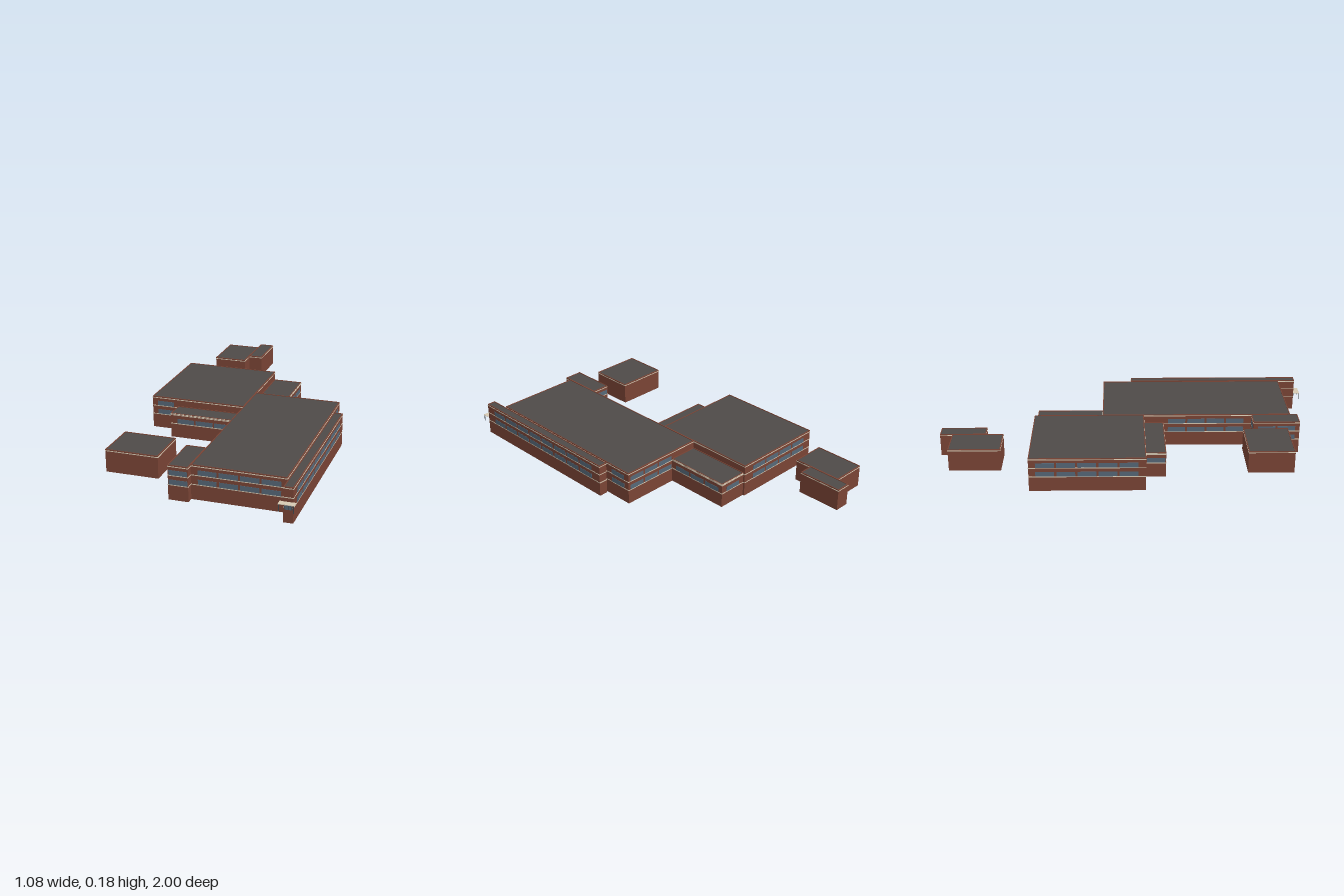
import * as THREE from 'three';

const mat = (name, color, side = THREE.FrontSide) => {
  const m = new THREE.MeshStandardMaterial({ color, side });
  m.name = name;
  return m;
};

export function createModel() {
  const brick = mat('brick', 0x7a4435);
  const roofing = mat('roofing', 0x4e4a48);
  const trim = mat('cream trim', 0xd6cab4);
  const glass = mat('glass', 0x566878);
  const metal = mat('dark metal', 0x40444a);

  const model = new THREE.Group();
  model.name = 'buildingComplex';

  const add = (parent, name, geometry, material) => {
    const mesh = new THREE.Mesh(geometry, material);
    mesh.name = name;
    parent.add(mesh);
    return mesh;
  };

  // Box given by its lower and upper corner
  const box = (parent, name, material, x0, x1, y0, y1, z0, z1) =>
    add(parent, name, new THREE.BoxGeometry(x1 - x0, y1 - y0, z1 - z0), material)
      .position.set((x0 + x1) / 2, (y0 + y1) / 2, (z0 + z1) / 2);

  // Rectangular ring in plan, grown outward by "out", with walls of thickness t
  const ring = (parent, name, material, [x0, x1, z0, z1], y0, y1, out, t) => {
    const rect = (C, d) => new C([
      new THREE.Vector2(x0 - d, -z1 - d), new THREE.Vector2(x1 + d, -z1 - d),
      new THREE.Vector2(x1 + d, -z0 + d), new THREE.Vector2(x0 - d, -z0 + d)
    ]);
    const shape = rect(THREE.Shape, out);
    shape.holes.push(rect(THREE.Path, out - t));
    const geo = new THREE.ExtrudeGeometry(shape, { depth: y1 - y0, bevelEnabled: false });
    geo.rotateX(-Math.PI / 2).translate(0, y0, 0);
    add(parent, name, geo, material);
  };

  // Hollow wing: open below, flat roof sunk behind a low parapet, trim bands
  const wing = (name, plan, y0, y1, bands) => {
    const g = new THREE.Group();
    g.name = name;
    model.add(g);
    const [x0, x1, z0, z1] = plan;
    ring(g, 'walls', brick, plan, y0, y1, 0, 0.004);
    box(g, 'roof', roofing, x0 + 0.003, x1 - 0.003, y1 - 0.008, y1 - 0.003, z0 + 0.003, z1 - 0.003);
    for (const y of bands) ring(g, 'trimBand', trim, plan, y - 0.002, y + 0.002, 0.0012, 0.002);
    return g;
  };

  const TOP = 0.182, LOW = 0.138;
  const tall = [0.079, 0.128, 0.174];
  const low = [0.079, 0.128, 0.134];
  const main = wing('mainHall', [-0.01, 0.468, -0.15, 0.872], 0, TOP, tall);
  const rear = wing('rearHall', [-0.54, -0.01, -0.52, 0.073], 0, TOP, tall);
  const rearAnnex = wing('rearAnnex', [-0.01, 0.152, -0.51, -0.15], 0, LOW, low);
  const frontAnnex = wing('frontAnnex', [-0.39, -0.01, 0.073, 0.18], 0, LOW, low);
  const stair = wing('stairBlock', [-0.113, -0.01, 0.66, 0.91], 0, TOP, tall);
  const side = wing('sideGallery', [0.476, 0.524, 0.01, 0.968], 0, TOP, tall);
  wing('frontPavilion', [-0.472, -0.195, 0.595, 0.832], 0.062, TOP, [0.174]);
  wing('backPavilion', [-0.432, -0.247, -0.935, -0.668], 0.062, TOP, [0.174]);
  wing('backPavilionAnnex', [-0.247, -0.168, -1, -0.76], 0.062, TOP, [0.174]);

  // Row of thin window panes on a wall; axis is the wall's normal axis
  const ROWS = [[0.081, 0.107], [0.13, 0.156]];
  const windows = (g, axis, plane, start, count, rows = 2, w = 0.095, pitch = 0.106) => {
    for (let r = 0; r < rows; r++) {
      for (let i = 0; i < count; i++) {
        const a = start + i * pitch, b = a + w, [y0, y1] = ROWS[r];
        if (axis === 'z') box(g, 'window', glass, a, b, y0, y1, plane - 0.001, plane + 0.001);
        else box(g, 'window', glass, plane - 0.001, plane + 0.001, y0, y1, a, b);
      }
    }
  };
  windows(main, 'z', 0.872, 0.025, 4);
  windows(main, 'z', -0.15, 0.16, 3, 2, 0.09, 0.102);
  windows(main, 'x', 0.468, -0.118, 1);
  windows(main, 'x', -0.01, 0.205, 4);
  windows(side, 'x', 0.524, 0.072, 8, 2, 0.093);
  windows(rear, 'z', 0.073, -0.51, 1);
  windows(rear, 'z', -0.52, -0.487, 4);
  windows(rear, 'x', -0.54, -0.485, 5);
  windows(rearAnnex, 'x', 0.152, -0.487, 3, 1);
  windows(rearAnnex, 'z', -0.51, 0.022, 1, 1);
  windows(frontAnnex, 'z', 0.18, -0.353, 3, 1);
  windows(frontAnnex, 'x', -0.39, 0.08, 1, 1);
  windows(stair, 'z', 0.91, -0.109, 1);
  windows(stair, 'z', 0.66, -0.109, 1);
  windows(stair, 'x', -0.113, 0.685, 2);

  // Small entrance canopy at the end of the gallery
  const canopy = new THREE.Group();
  canopy.name = 'canopy';
  model.add(canopy);
  box(canopy, 'canopyRoof', trim, 0.458, 0.537, 0.104, 0.107, 0.966, 1);
  box(canopy, 'canopyDoor', glass, 0.482, 0.518, 0.067, 0.1, 0.968, 0.97);
  for (const x of [0.462, 0.533]) box(canopy, 'post', metal, x - 0.0015, x + 0.0015, 0.067, 0.104, 0.996, 0.999);
  for (const x of [0.482, 0.5, 0.518]) box(canopy, 'doorFrame', metal, x - 0.001, x + 0.001, 0.067, 0.1, 0.968, 0.971);

  return model;
}
